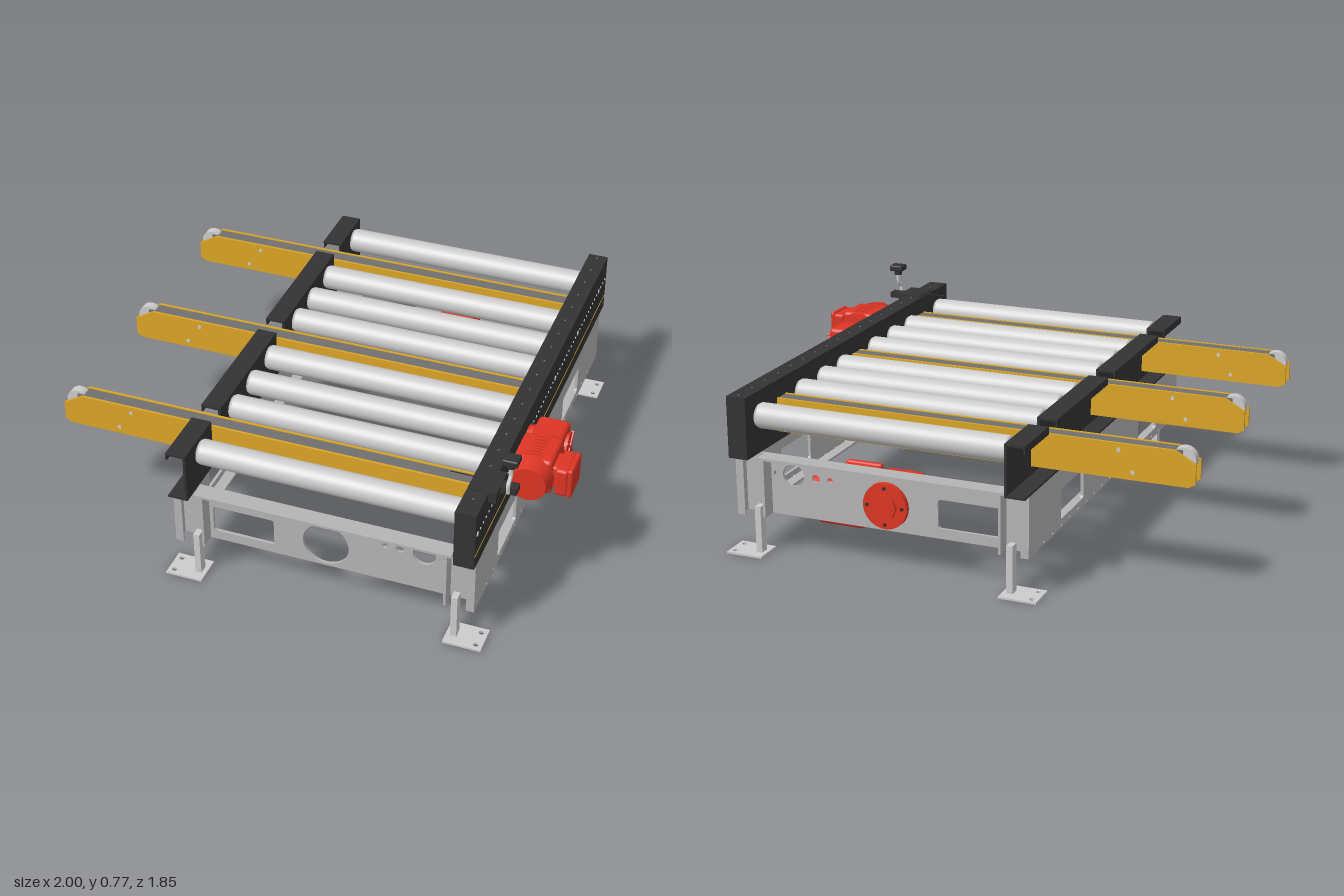
import * as THREE from 'three';
import { RoundedBoxGeometry } from 'three/addons/geometries/RoundedBoxGeometry.js';

const paint = (color) => new THREE.MeshStandardMaterial({ color, side: THREE.DoubleSide });

export function createModel() {
  const model = new THREE.Group();
  const grey = paint(0xb4b4b4), steel = paint(0xcccccc), dark = paint(0x333333);
  const yellow = paint(0xdba526), red = paint(0xdd3524), belt = paint(0x707070);

  const add = (name, geo, mat, x = 0, y = 0, z = 0, parent = model) => {
    const m = new THREE.Mesh(geo, mat);
    m.name = name;
    m.position.set(x, y, z);
    parent.add(m);
    return m;
  };
  // Box given by its minimum and maximum along each axis
  const box = (name, mat, x0, x1, y0, y1, z0, z1, parent = model) =>
    add(name, new THREE.BoxGeometry(x1 - x0, y1 - y0, z1 - z0), mat,
      (x0 + x1) / 2, (y0 + y1) / 2, (z0 + z1) / 2, parent);
  // Cylinder along a chosen axis
  const rod = (name, mat, axis, r, len, x, y, z, parent = model, sides = 24, r2 = r) => {
    const g = new THREE.CylinderGeometry(r, r2, len, sides);
    if (axis === 'x') g.rotateZ(-Math.PI / 2);
    if (axis === 'z') g.rotateX(Math.PI / 2);
    return add(name, g, mat, x, y, z, parent);
  };
  const polygon = (pts) => new THREE.Shape(pts.map(([x, y]) => new THREE.Vector2(x, y)));
  const rect = (x0, x1, y0, y1) => polygon([[x0, y0], [x1, y0], [x1, y1], [x0, y1]]);
  const window = (x0, x1, y0, y1, r = 0.012) => {
    const p = new THREE.Path();
    p.absarc(x0 + r, y0 + r, r, Math.PI, 1.5 * Math.PI);
    p.absarc(x1 - r, y0 + r, r, 1.5 * Math.PI, 2 * Math.PI);
    p.absarc(x1 - r, y1 - r, r, 0, Math.PI / 2);
    p.absarc(x0 + r, y1 - r, r, Math.PI / 2, Math.PI);
    p.closePath();
    return p;
  };
  const hole = (x, y, r) => new THREE.Path().absarc(x, y, r, 0, Math.PI * 2);
  const sheet = (shape, depth) => new THREE.ExtrudeGeometry(shape,
    { depth, bevelEnabled: false, curveSegments: 16 });

  // End panels of the base frame, with window and round cut-outs
  for (const s of [1, -1]) {
    const shape = rect(-0.44, 0.75, 0.16, 0.4);
    shape.holes.push(window(-0.31, -0.06, 0.2, 0.315), hole(0.15, 0.262, 0.092),
      hole(0.54, 0.325, 0.045), hole(0.445, 0.325, 0.016), hole(0.385, 0.325, 0.011),
      window(0.616, 0.624, 0.315, 0.335, 0.003));
    add('endPanel', sheet(shape, 0.012), grey, 0, 0, s * 0.82 - 0.006);
    const z0 = s > 0 ? 0.82 : -0.885;
    box('endPanelFlange', grey, -0.36, 0.66, 0.39, 0.4, z0, z0 + 0.065);
  }

  // Side panels with two windows, a row of small holes and an inward lower flange
  for (const [x, inward] of [[-0.439, 1], [0.749, -1]]) {
    const shape = rect(-0.885, 0.885, 0.16, 0.4);
    shape.holes.push(window(-0.595, -0.355, 0.195, 0.315), window(0.31, 0.555, 0.195, 0.315));
    for (let i = 0; i < 17; i++) shape.holes.push(hole(-0.73 + i * 0.0915, 0.172, 0.005));
    const g = sheet(shape, 0.012);
    g.translate(0, 0, -0.006);
    g.rotateY(Math.PI / 2);
    add('sidePanel', g, grey, x);
    const a = x, b = x + inward * 0.05;
    for (const y of [0.16, 0.39])
      box('sidePanelFlange', grey, Math.min(a, b), Math.max(a, b), y, y + 0.01, -0.815, 0.815);
  }

  // Corner posts, legs and foot plates
  for (const sx of [-1, 1]) for (const sz of [-1, 1]) {
    const corner = new THREE.Group();
    corner.name = 'cornerLeg';
    corner.position.set(sx > 0 ? 0.755 : -0.445, 0, sz * 0.885);
    const part = (name, mat, w, h, d, inX, y, inZ) =>
      add(name, new THREE.BoxGeometry(w, h, d), mat, -sx * inX, y, -sz * inZ, corner);
    part('postInnerWall', grey, 0.01, 0.24, 0.07, 0.115, 0.28, 0.035);
    part('postLip', grey, 0.032, 0.24, 0.008, 0.016, 0.28, 0.004);
    part('legBar', steel, 0.025, 0.19, 0.038, 0.08, 0.1, 0.03);
    const foot = rect(-0.075, 0.075, -0.06, 0.06);
    for (const hx of [-0.05, 0.05]) for (const hy of [-0.035, 0.035])
      if (hx * sx > 0) foot.holes.push(hole(hx, hy, 0.01));
    const g = sheet(foot, 0.008);
    g.rotateX(-Math.PI / 2);
    add('footPlate', g, steel, -sx * 0.035, 0, -sz * 0.03, corner);
    model.add(corner);
  }

  // Closed drive rail with groove line, fasteners and top bolts
  box('driveRail', dark, 0.68, 0.76, 0.4, 0.645, -0.925, 0.925);
  box('railStripe', yellow, 0.7595, 0.7615, 0.458, 0.462, -0.925, 0.925);
  for (let i = 0; i < 54; i++) {
    const z = -0.9 + i * 0.034, big = i % 10 === 3;
    rod('railFastener', steel, 'x', big ? 0.011 : 0.005, 0.003, 0.761, 0.55, z, model, 8);
    if (i % 3 === 0) rod('topBolt', belt, 'y', 0.004, 0.003, 0.72, 0.646, z, model, 8);
  }

  // Open channel rail, notched where the transfer arms pass
  box('channelWeb', dark, -0.375, -0.365, 0.4, 0.437, -0.925, 0.925);
  box('channelLowerFlange', dark, -0.445, -0.365, 0.4, 0.408, -0.925, 0.925);
  for (const [z0, z1] of [[-0.925, -0.69], [-0.605, -0.042], [0.042, 0.6], [0.685, 0.925]]) {
    box('channelWeb', dark, -0.375, -0.365, 0.437, 0.605, z0, z1);
    box('channelTopFlange', dark, -0.445, -0.365, 0.596, 0.605, z0, z1);
    box('channelLip', dark, -0.445, -0.439, 0.575, 0.605, z0, z1);
  }

  // Conveyor rollers with chamfered ends and axles
  const rollerProfile = [[0, -0.517], [0.044, -0.517], [0.05, -0.505], [0.05, 0.505], [0.044, 0.517], [0, 0.517]];
  const rollerGeo = new THREE.CylinderGeometry(0.05, 0.05, 1.01, 32, 1, true);
  const rollerEnds = new THREE.LatheGeometry(
    rollerProfile.slice(0, 3).map(([r, y]) => new THREE.Vector2(r, y)), 32);
  for (const z of [-0.83, -0.505, -0.32, -0.15, 0.14, 0.325, 0.5, 0.805]) {
    const roller = new THREE.Group();
    roller.name = 'roller';
    roller.position.set(0.158, 0.553, z);
    roller.rotation.z = Math.PI / 2;
    add('rollerTube', rollerGeo, steel, 0, 0, 0, roller);
    add('rollerEnd', rollerEnds, steel, 0, 0, 0, roller);
    add('rollerEnd', rollerEnds, steel, 0, 0, 0, roller).rotation.z = Math.PI;
    rod('axle', belt, 'y', 0.012, 1.06, 0, 0, 0, roller, 12);
    model.add(roller);
  }

  // Transfer arms: two cheek plates, a base, a chain strip and a nose wheel
  for (const z of [-0.645, 0, 0.638]) {
    const arm = new THREE.Group();
    arm.name = 'transferArm';
    arm.position.z = z;
    const cheek = polygon([[-1, 0.455], [-0.975, 0.44], [0.68, 0.44], [0.68, 0.575], [-0.92, 0.575], [-1, 0.53]]);
    for (const s of [-1, 1]) {
      add('cheekPlate', sheet(cheek, 0.01), yellow, 0, 0, s * 0.032 - 0.005, arm);
      for (const [x, y] of [[-0.71, 0.55], [-0.765, 0.47]])
        rod('cheekBolt', steel, 'z', 0.008, 0.004, x, y, s * 0.038, arm, 10);
    }
    box('armBase', yellow, -0.97, 0.68, 0.44, 0.448, -0.03, 0.03, arm);
    box('chainStrip', belt, -0.945, 0.68, 0.545, 0.573, -0.025, 0.025, arm);
    rod('noseWheel', steel, 'z', 0.047, 0.036, -0.948, 0.536, 0, arm, 28);
    model.add(arm);
  }

  // Gear motor: motor along +x, terminal box on +z, output flange on -z
  const gearMotor = (name) => {
    const g = new THREE.Group();
    g.name = name;
    rod('motorBody', red, 'x', 0.092, 0.24, 0.13, 0, 0, g, 32);
    for (let i = 0; i < 7; i++) rod('coolingFin', red, 'x', 0.098, 0.008, 0.06 + i * 0.022, 0, 0, g, 32);
    rod('fanCowl', red, 'x', 0.085, 0.08, 0.26, 0, 0, g, 32, 0.1);
    add('motorFoot', new RoundedBoxGeometry(0.2, 0.18, 0.18, 3, 0.02), red, 0.13, 0, 0, g);
    rod('motorFlange', red, 'x', 0.088, 0.025, 0.01, 0.01, 0, g, 32);
    add('terminalNeck', new RoundedBoxGeometry(0.12, 0.11, 0.06, 2, 0.012), red, 0.15, 0, 0.1, g);
    add('terminalBox', new RoundedBoxGeometry(0.165, 0.14, 0.06, 2, 0.014), red, 0.15, 0.01, 0.135, g);
    add('terminalLid', new RoundedBoxGeometry(0.155, 0.15, 0.025, 2, 0.01), red, 0.15, 0.01, 0.172, g);
    add('gearbox', new RoundedBoxGeometry(0.165, 0.17, 0.15, 3, 0.022), red, -0.08, 0.035, 0, g);
    rod('gearCover', red, 'z', 0.07, 0.18, -0.085, 0.042, 0, g, 8);
    for (const a of [Math.PI / 4, -Math.PI / 4])
      add('coverRib', new THREE.BoxGeometry(0.15, 0.008, 0.012), red, -0.085, 0.042, 0.09, g).rotation.z = a;
    return g;
  };

  // Motor under the rollers, with its round output flange in the rear panel
  const lower = gearMotor('lowerGearMotor');
  lower.position.set(0.24, 0.215, -0.69);
  rod('outputHousing', red, 'z', 0.07, 0.1, -0.09, 0.046, -0.1, lower, 32);
  rod('outputFlange', red, 'z', 0.09, 0.035, -0.09, 0.046, -0.135, lower, 40);
  rod('outputHub', red, 'z', 0.05, 0.015, -0.09, 0.046, -0.158, lower, 8);
  for (let i = 0; i < 4; i++) {
    const a = i * Math.PI / 2;
    rod('flangeBolt', dark, 'z', 0.007, 0.01, -0.09 + 0.072 * Math.cos(a), 0.046 + 0.072 * Math.sin(a), -0.154, lower, 6);
  }
  model.add(lower);

  // Smaller copy beside the drive rail, turned to run along z
  const side = gearMotor('sideGearMotor');
  side.quaternion.setFromRotationMatrix(new THREE.Matrix4().makeBasis(
    new THREE.Vector3(0, 0, 1), new THREE.Vector3(0, -1, 0), new THREE.Vector3(1, 0, 0)));
  side.position.set(0.848, 0.556, 0.33);
  side.scale.setScalar(0.83);
  rod('outputHousing', red, 'z', 0.065, 0.05, -0.085, 0.042, -0.09, side, 32);
  model.add(side);

  // Sensor on a bent stalk
  box('sensorBracket', dark, 0.69, 0.79, 0.605, 0.65, 0.65, 0.785);
  box('sensorArm', dark, 0.76, 0.85, 0.62, 0.645, 0.69, 0.735);
  const stalk = new THREE.CatmullRomCurve3([[0.82, 0.63, 0.74], [0.82, 0.67, 0.74], [0.82, 0.685, 0.715], [0.82, 0.75, 0.71]]
    .map((p) => new THREE.Vector3(...p)));
  add('sensorStalk', new THREE.TubeGeometry(stalk, 20, 0.008, 8), steel);
  rod('sensorCollar', dark, 'y', 0.016, 0.02, 0.82, 0.735, 0.71);
  add('sensorHead', new RoundedBoxGeometry(0.06, 0.026, 0.056, 2, 0.006), dark, 0.82, 0.757, 0.71);
  box('sensorPointer', dark, 0.595, 0.7, 0.646, 0.649, 0.709, 0.712);

  return model;
}
